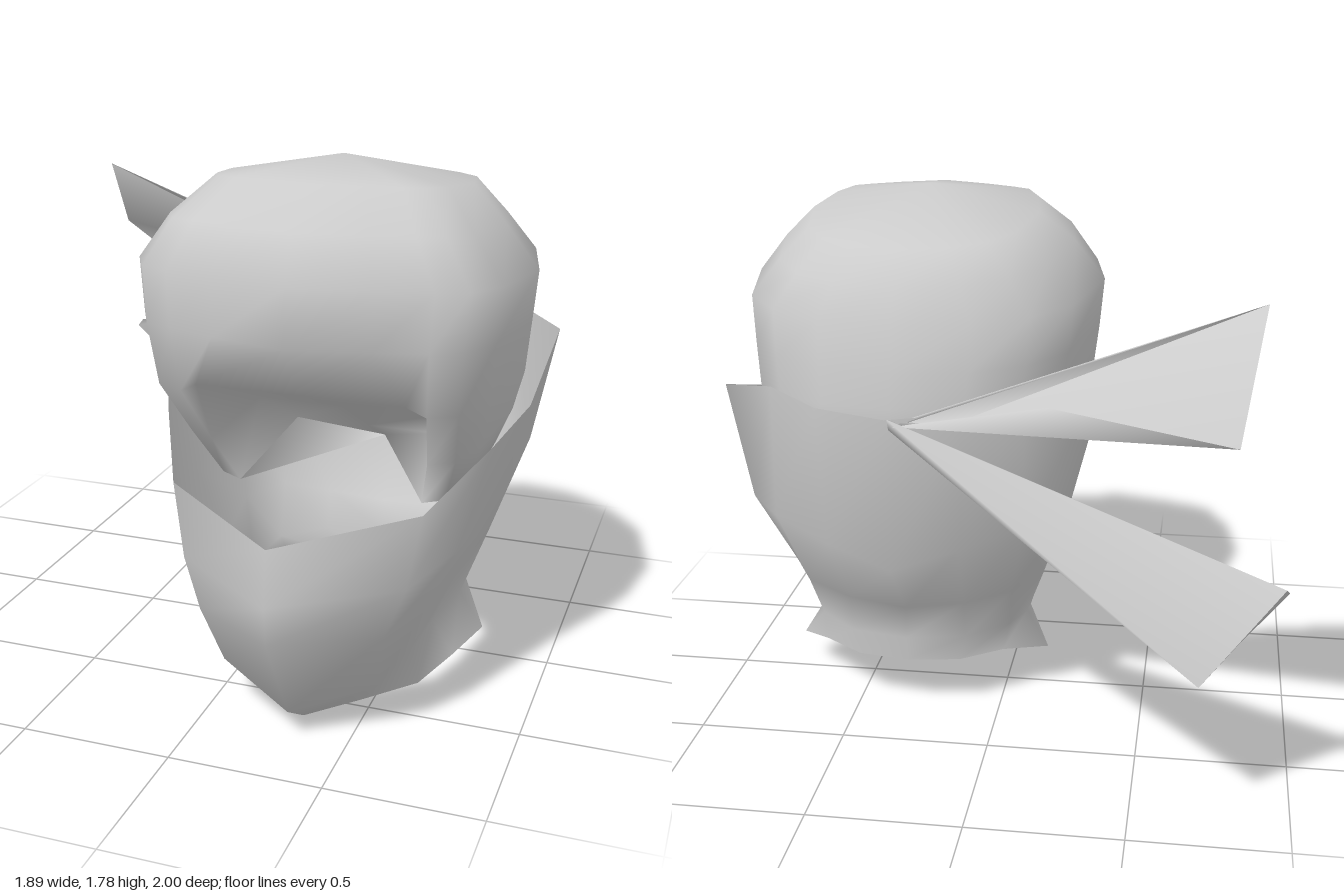
import * as THREE from 'three';
import { mergeVertices } from 'three/addons/utils/BufferGeometryUtils.js';

const CX = 0.315; // the head sits to the left of the trailing tails
const material = new THREE.MeshStandardMaterial({ color: 0xcccccc, side: THREE.DoubleSide });

// Smooth skin over closed rings listed from top to bottom
function loft(name, rings) {
  const n = rings[0].length;
  const index = [];
  for (let i = 0; i < rings.length - 1; i++) {
    for (let j = 0; j < n; j++) {
      const a = i * n + j, b = i * n + (j + 1) % n;
      index.push(a, a + n, b, b, a + n, b + n);
    }
  }
  const g = new THREE.BufferGeometry();
  g.setAttribute('position', new THREE.Float32BufferAttribute(rings.flat(2), 3));
  g.setIndex(index);
  const merged = mergeVertices(g, 1e-4);
  merged.computeVertexNormals();
  const mesh = new THREE.Mesh(merged, material);
  mesh.name = name;
  return mesh;
}

// Mirror a half ring running from front centre to back centre
function mirrorRing(half) {
  const left = half.map(([x, y, z]) => [CX + x, y, z]);
  const right = half.slice(1, -1).reverse().map(([x, y, z]) => [CX - x, y, z]);
  return [...left, ...right];
}

// Plan of the hood as [x, z] fractions: flat brow, full sides, rounded back
const hoodPlan = [[0, 1], [0.4, 0.91], [0.66, 0.83], [0.81, 0.77], [0.92, 0.56],
  [1, 0.1], [0.88, -0.48], [0.68, -0.76], [0.4, -0.92], [0, -1]];

// Tilted hood ring; brow, if given, is the [y, z] of the recessed front centre
function hoodRing([frontZ, frontY, backZ, backY, halfX, brow]) {
  return mirrorRing(hoodPlan.map(([u, k], j) => {
    if (brow && j < 2) return [u * halfX * 1.4, ...brow];
    const f = (1 + k) / 2;
    return [u * halfX, backY + f * (frontY - backY), backZ + f * (frontZ - backZ)];
  }));
}

// Folded cloth strip running from its gathered root to a wide free end
function tail(name, root, end) {
  const centre = [0, 1, 2].map(k => end.reduce((sum, p) => sum + p[k], 0) / end.length);
  const group = new THREE.Group();
  group.name = name;
  group.add(loft('strip', [root, end]), loft('stripEnd', [end, end.map(() => centre)]));
  return group;
}

export function createModel() {
  const model = new THREE.Group();
  model.name = 'hoodAndMask';

  // Hood: front z, front y, back z, back y, half width, recessed brow.
  // The last rings form the eye recess, the cheeks and the sloping underside.
  const hoodRings = [
    [0.26, 1.78, 0.26, 1.78, 0],
    [0.60, 1.74, -0.30, 1.65, 0.40],
    [0.77, 1.63, -0.37, 1.54, 0.52],
    [0.82, 1.48, -0.43, 1.43, 0.625],
    [0.83, 1.30, -0.46, 1.28, 0.61],
    [0.78, 1.08, -0.48, 1.17, 0.59, [1.12, 0.69]],
    [0.60, 0.86, -0.48, 1.08, 0.54, [0.93, 0.20]],
    [0.45, 0.67, -0.46, 0.95, 0.47, [0.77, -0.08]],
    [-0.30, 0.66, -0.30, 0.66, 0],
  ].map(hoodRing);
  model.add(loft('hood', hoodRings));

  // Mask: half rings from the upper rim down to the open neck
  const maskRings = [
    [[0, 0.74, 0.98], [0.40, 0.80, 0.72], [0.54, 0.93, 0.43], [0.62, 1.02, 0.25],
      [0.63, 1.15, -0.20], [0.42, 1.20, -0.37], [0.24, 1.17, -0.49], [0, 1.16, -0.555]],
    [[0, 0.56, 1.00], [0.36, 0.56, 0.74], [0.46, 0.60, 0.48], [0.52, 0.66, 0.25],
      [0.55, 0.75, -0.20], [0.42, 0.75, -0.38], [0.22, 0.70, -0.48], [0, 0.63, -0.52]],
    [[0, 0.43, 0.98], [0.30, 0.40, 0.76], [0.37, 0.40, 0.50], [0.41, 0.42, 0.25],
      [0.45, 0.45, -0.05], [0.36, 0.45, -0.22], [0.20, 0.42, -0.28], [0, 0.40, -0.30]],
    [[0, 0.10, 0.78], [0.26, 0.18, 0.66], [0.31, 0.21, 0.45], [0.34, 0.24, 0.28],
      [0.38, 0.25, 0.06], [0.34, 0.28, -0.12], [0.20, 0.28, -0.25], [0, 0.28, -0.29]],
    [[0, 0, 0.62], [0.16, 0.015, 0.48], [0.31, 0.03, 0.34], [0.39, 0.075, 0.19],
      [0.46, 0.12, 0.04], [0.32, 0.19, -0.15], [0.18, 0.19, -0.25], [0, 0.19, -0.28]],
  ].map(mirrorRing);
  model.add(loft('faceMask', maskRings));

  // Knotted cloth tails behind the head
  model.add(
    tail('upperTail',
      [[0.25, 1.15, -0.505], [0.27, 1.14, -0.54], [0.28, 1.15, -0.59]],
      [[-0.86, 1.56, -0.51], [-0.82, 1.33, -0.56], [-0.79, 1.19, -0.78]]),
    tail('lowerTail',
      [[0.30, 1.17, -0.58], [0.30, 1.16, -0.55], [0.30, 1.12, -0.53], [0.30, 1.13, -0.56]],
      [[-0.94, 0.82, -0.925], [-0.95, 0.80, -0.90], [-0.71, 0.54, -0.97], [-0.70, 0.53, -1.00]]),
  );
  return model;
}
